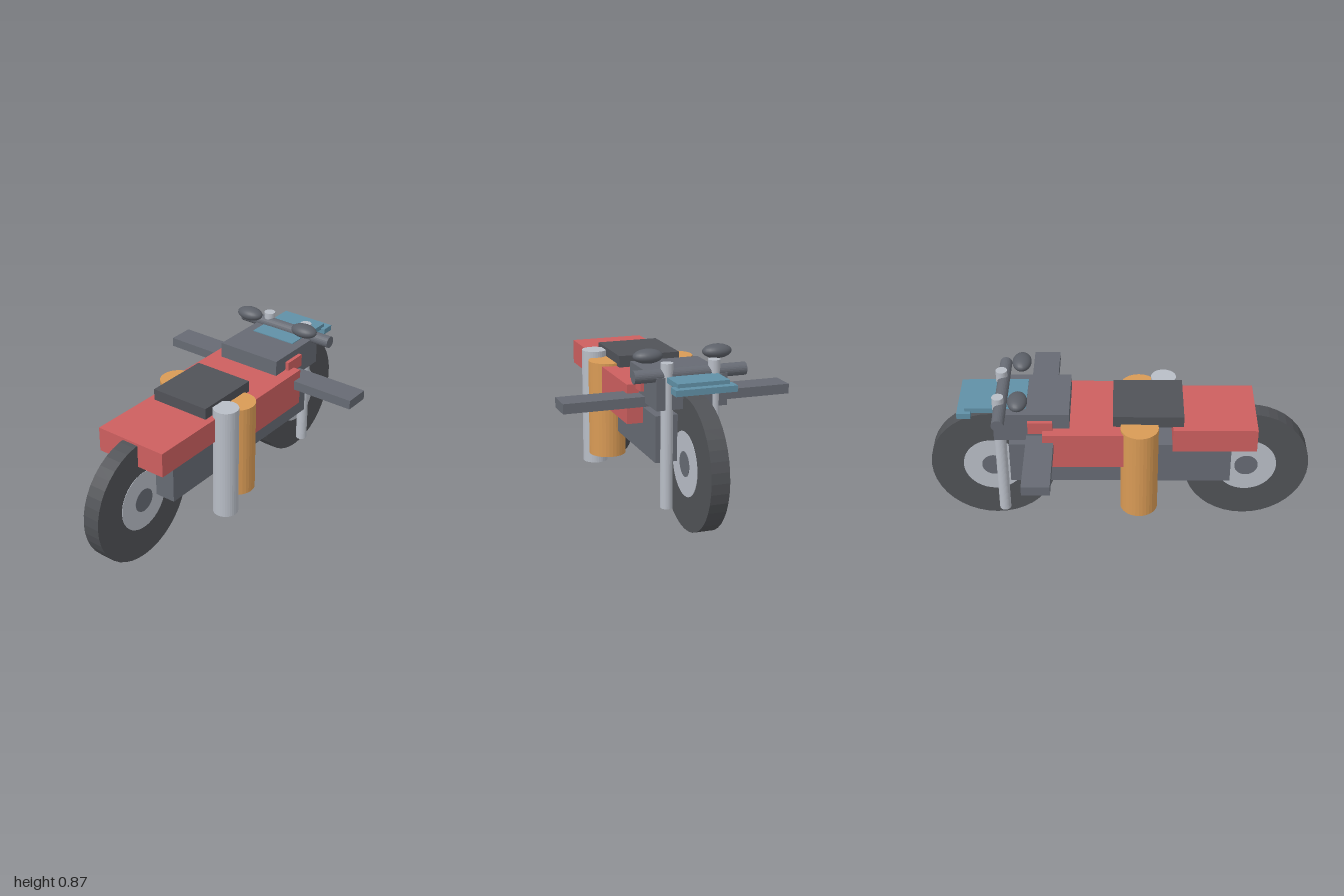
import * as THREE from 'three';

export function createModel() {
  const model = new THREE.Group();
  const mat = (color, flatShading = true) => new THREE.MeshStandardMaterial({ color, flatShading });
  const tyreMat = mat(0x505256), darkMat = mat(0x666a73), seatMat = mat(0x505258);
  const silver = mat(0xb8bdc6), red = mat(0xcc5f5f), orange = mat(0xd89a55), blue = mat(0x6090a6);
  const smoothDark = mat(0x5c6068, false);

  const add = (name, geo, material, x, y, z, parent = model) => {
    const mesh = new THREE.Mesh(geo, material);
    mesh.name = name;
    mesh.position.set(x, y, z);
    parent.add(mesh);
    return mesh;
  };
  // Box centred on x, given by half width and y / z ranges
  const box = (name, material, hw, y0, y1, z0, z1) =>
    add(name, new THREE.BoxGeometry(hw * 2, y1 - y0, z1 - z0), material, 0, (y0 + y1) / 2, (z0 + z1) / 2);
  // Upright cylinder between two heights
  const post = (name, material, r, x, y0, y1, z) =>
    add(name, new THREE.CylinderGeometry(r, r, y1 - y0, 32), material, x, (y0 + y1) / 2, z);
  // Cylinder lying along x
  const axle = (name, material, r, hw, y, z, parent, segments = 40) =>
    add(name, new THREE.CylinderGeometry(r, r, hw * 2, segments).rotateZ(Math.PI / 2), material, 0, y, z, parent);

  // Wheels
  for (const [name, z] of [['rearWheel', 0.67], ['frontWheel', -0.67]]) {
    const wheel = new THREE.Group();
    wheel.name = name;
    wheel.position.set(0, 0.33, z);
    model.add(wheel);
    axle('tyre', tyreMat, 0.33, 0.046, 0, 0, wheel);
    axle('rim', silver, 0.16, 0.048, 0, 0, wheel);
    axle('hub', darkMat, 0.062, 0.05, 0, 0, wheel);
  }

  // Body
  box('engineBlock', darkMat, 0.16, 0.315, 0.55, -0.57, 0.575);
  box('tailBody', red, 0.2, 0.54, 0.67, 0.27, 0.7);
  box('tank', red, 0.243, 0.47, 0.67, -0.39, 0.06);
  box('seat', seatMat, 0.165, 0.665, 0.73, -0.035, 0.325);
  box('frontCowl', darkMat, 0.18, 0.595, 0.753, -0.64, -0.255);
  box('cowlBand', red, 0.2, 0.65, 0.717, -0.465, -0.34);
  box('sideWings', darkMat, 0.59, 0.575, 0.625, -0.475, -0.335);

  // Windscreen panel and its tip
  box('visor', blue, 0.13, 0.73, 0.757, -0.785, -0.475);
  box('visorTip', blue, 0.153, 0.708, 0.738, -0.825, -0.755);

  // Handlebar
  axle('handlebar', darkMat, 0.032, 0.285, 0.76, -0.605, model, 24);

  // Paired parts
  for (const s of [-1, 1]) {
    post('sideCanister', orange, 0.097, s * 0.19, 0.177, 0.683, 0.1);
    post('fork', silver, 0.03, s * 0.12, 0.1, 0.82, -0.615);
    add('mirror', new THREE.SphereGeometry(1, 24, 16).scale(0.075, 0.035, 0.05), smoothDark, s * 0.178, 0.834, -0.51);
  }

  // Single tall pipe on the left side
  post('exhaustPipe', silver, 0.066, 0.219, 0.1, 0.715, 0.23);

  return model;
}
